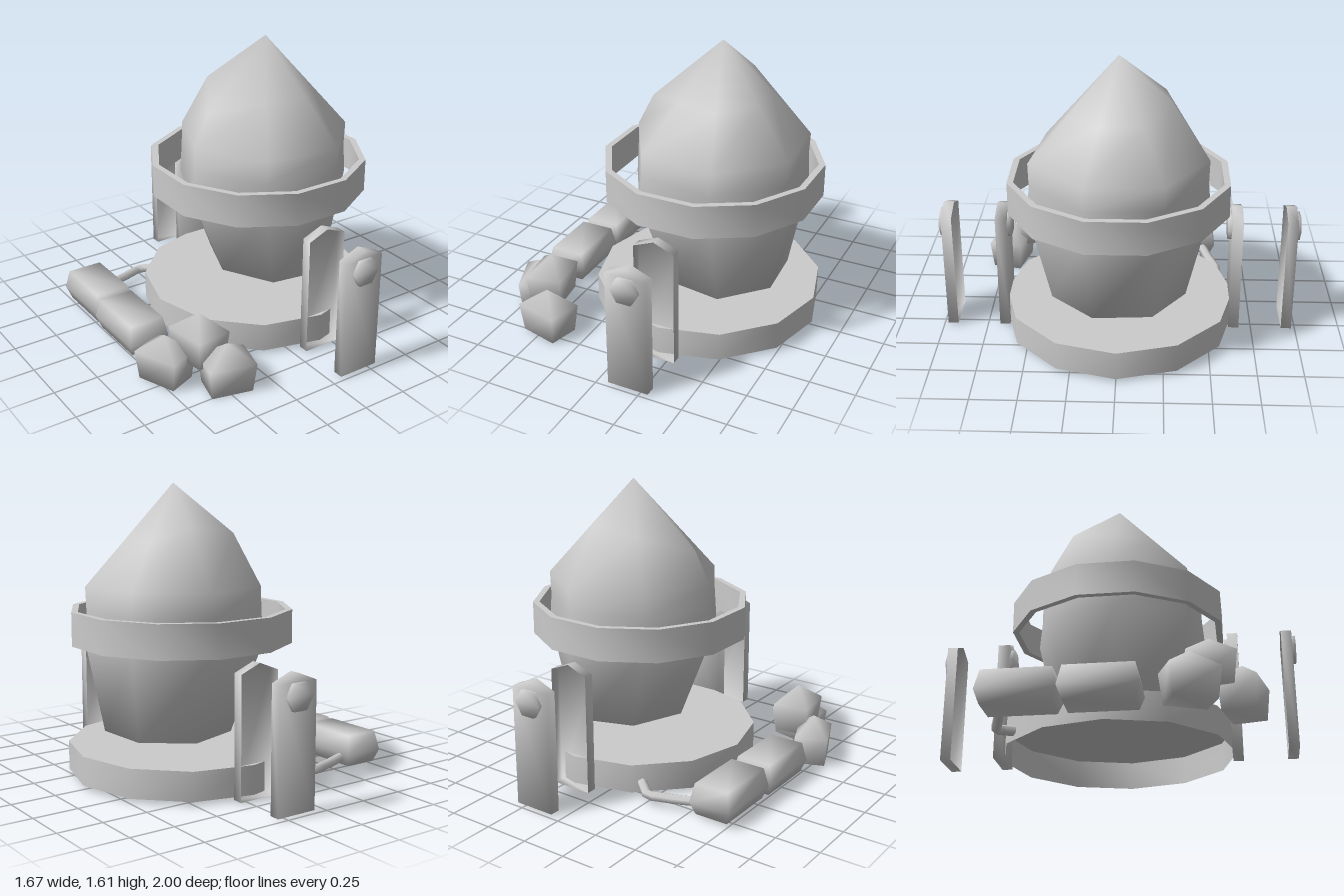
import * as THREE from 'three';
import { toCreasedNormals } from 'three/addons/utils/BufferGeometryUtils.js';

const material = new THREE.MeshStandardMaterial({ color: 0xcccccc, side: THREE.DoubleSide });
const SMOOTH = 3, EDGED = 0.95;

function add(parent, name, geometry, crease = SMOOTH) {
  const mesh = new THREE.Mesh(toCreasedNormals(geometry, crease), material);
  mesh.name = name;
  parent.add(mesh);
  return mesh;
}

// Skin over a stack of rings (bottom to top), capped on top and, if closed, below
function loft(rings, closed = true) {
  const pos = [];
  const tri = (a, b, c) => {
    const area = b.clone().sub(a).cross(c.clone().sub(a)).length();
    if (area > 1e-7) for (const p of [a, b, c]) pos.push(p.x, p.y, p.z);
  };
  const n = rings[0].length;
  for (let r = 0; r + 1 < rings.length; r++) {
    for (let i = 0; i < n; i++) {
      const j = (i + 1) % n, lo = rings[r], up = rings[r + 1];
      tri(lo[i], up[i], lo[j]);
      tri(lo[j], up[i], up[j]);
    }
  }
  const first = rings[0], last = rings[rings.length - 1];
  for (let i = 1; i + 1 < n; i++) {
    if (closed) tri(first[0], first[i], first[i + 1]);
    tri(last[0], last[i + 1], last[i]);
  }
  const g = new THREE.BufferGeometry();
  g.setAttribute('position', new THREE.Float32BufferAttribute(pos, 3));
  g.computeVertexNormals();
  return g;
}

const rect = (w, d, y) =>
  [[1, 1], [-1, 1], [-1, -1], [1, -1]].map(([x, z]) => new THREE.Vector3(x * w / 2, y, z * d / 2));

const disc = (radius, y, n) => Array.from({ length: n }, (_, i) => {
  const a = i * 2 * Math.PI / n;
  return new THREE.Vector3(radius * Math.cos(a), y, radius * Math.sin(a));
});

// Seven-sided vessel with a peaked dome, bulging at its back left
function vessel() {
  const outline = [[0.71, 0.175], [0.4, 0.487], [-0.035, 0.425], [-0.255, 0.04],
    [-0.09, -0.365], [0.33, -0.495], [0.68, -0.25]];
  const apex = new THREE.Vector3(0.25, 1.61, 0);
  const ring = (y, sx, sz, cx = 0.24) =>
    outline.map(([x, z]) => new THREE.Vector3(cx + (x - 0.24) * sx, y, z * sz));
  const shoulder = ring(1.06, 0.98, 0.975, 0.245);
  const middle = shoulder.map((p) => p.clone().lerp(apex, 0.45));
  middle[3].set(-0.15, 1.24, 0.03);
  middle[4].set(0.03, 1.345, -0.25);
  middle[5].set(0.32, 1.385, -0.275);
  const tip = outline.map(() => apex);
  return loft([ring(0.26, 0.7, 0.75, 0.291), ring(0.76, 1, 1), ring(0.93, 0.98, 0.97),
    shoulder, middle, tip]);
}

// Post shell lying on its back: front plate on top, open behind
function postShell(depth) {
  const outline = [[-0.117, 0.675], [0, 0.722], [0.117, 0.675], [0.117, 0.008], [-0.117, 0.008]];
  const ring = (y) => outline.map(([x, h]) => new THREE.Vector3(x, y, -h));
  return loft([ring(0), ring(depth)], false).rotateX(Math.PI / 2);
}

export function createModel() {
  const model = new THREE.Group();

  // Round base, hollow underneath
  const base = add(model, 'base', loft([disc(0.645, 0.02, 12), disc(0.645, 0.18, 12)], false), EDGED);
  base.position.x = 0.185;

  add(model, 'vessel', vessel());

  // Open band around the vessel
  const profile = [[0.616, 0.745], [0.616, 0.93], [0.58, 0.93], [0.58, 0.745], [0.616, 0.745]]
    .map(([x, y]) => new THREE.Vector2(x, y));
  const band = add(model, 'band', new THREE.LatheGeometry(profile, 12, Math.PI / 12), EDGED);
  band.position.x = 0.203;

  // Paired support posts, open towards each other, with hexagonal bolts on their plates
  for (const side of [1, -1]) {
    for (const [z, facing] of [[0.92, side], [0.68, -side]]) {
      const support = new THREE.Group();
      support.name = 'support';
      support.position.set(0.18, 0, side * z);
      support.rotation.y = facing > 0 ? 0 : Math.PI;
      add(support, 'post', postShell(0.058));
      const hex = loft([disc(0.08, 0.058, 6), disc(0.08, 0.08, 6)], false).rotateX(Math.PI / 2);
      add(support, 'bolt', hex.translate(0, 0.605, 0));
      model.add(support);
    }
  }

  // Two ingots in a row, widest below the middle
  for (const [x, z] of [[-0.652, -0.382], [-0.662, 0.02]]) {
    const ingot = add(model, 'ingot',
      loft([rect(0.19, 0.35, 0.02), rect(0.24, 0.4, 0.09), rect(0.2, 0.355, 0.196)]));
    ingot.position.set(x, 0, z);
  }

  // Spout pipe from base to ingots
  const path = new THREE.CurvePath();
  const points = [[-0.14, 0.08, -0.48], [-0.27, 0.055, -0.588], [-0.42, 0.055, -0.54], [-0.56, 0.065, -0.5]]
    .map((p) => new THREE.Vector3(...p));
  for (let i = 0; i < 3; i++) path.add(new THREE.LineCurve3(points[i], points[i + 1]));
  add(model, 'pipe', new THREE.TubeGeometry(path, 12, 0.028, 6));

  // Heap of tapered blocks with pyramid tops: x, y, z, width, depth, turn
  for (const [x, y, z, w, d, turn] of [
    [-0.7, 0, 0.45, 0.187, 0.26, 0.38],
    [-0.475, 0, 0.698, 0.26, 0.2, -0.24],
    [-0.545, 0.125, 0.54, 0.206, 0.25, 0.14],
  ]) {
    const block = add(model, 'oreBlock',
      loft([rect(w * 0.86, d * 0.86, 0), rect(w, d, 0.163), rect(0, 0, 0.26)]));
    block.position.set(x, y, z);
    block.rotation.y = turn;
  }

  return model;
}
